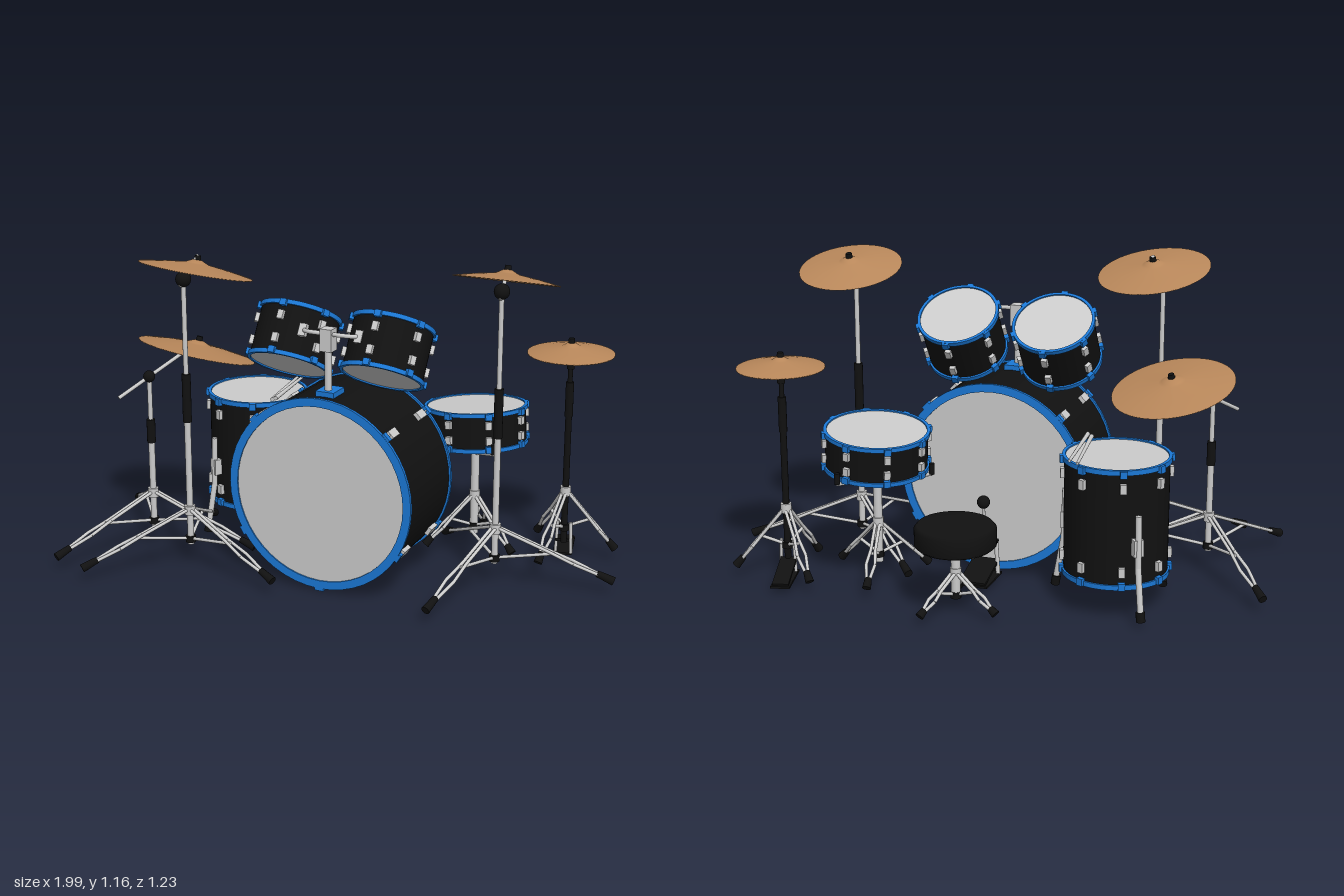
import * as THREE from 'three';

const mat = (color) => new THREE.MeshStandardMaterial({ color, side: THREE.DoubleSide });
const grey = mat(0xcccccc), black = mat(0x111111), blue = mat(0x1b78d6), bronze = mat(0xb8875a);
const V = (x, y, z) => new THREE.Vector3(x, y, z);
const rad = THREE.MathUtils.degToRad;

function add(parent, name, geo, material, x = 0, y = 0, z = 0) {
  const m = new THREE.Mesh(geo, material);
  m.name = name;
  m.position.set(x, y, z);
  parent.add(m);
  return m;
}

function group(parent, name, x = 0, y = 0, z = 0) {
  const g = new THREE.Group();
  g.name = name;
  g.position.set(x, y, z);
  parent.add(g);
  return g;
}

// round bar between two points
function rod(parent, name, a, b, r, material = grey, r2 = r) {
  const d = b.clone().sub(a);
  const m = add(parent, name, new THREE.CylinderGeometry(r2, r, d.length(), 12), material);
  m.position.copy(a).add(b).multiplyScalar(0.5);
  m.quaternion.setFromUnitVectors(V(0, 1, 0), d.normalize());
  return m;
}

// drum along local y: shell, two heads, two hoops, lugs and hoop claws
function drum(parent, name, o) {
  const g = group(parent, name, ...o.pos);
  g.rotation.set(...o.rot);
  const { r, h, rim, hoopH } = o;
  add(g, 'shell', new THREE.CylinderGeometry(r, r, h, 48, 1, true), black);
  for (const s of [1, -1]) {
    add(g, 'head', new THREE.CylinderGeometry(r, r, 0.004, 48), grey, 0, s * (h / 2 - 0.002), 0);
    const out = r + 0.007, inn = out - rim, t = hoopH / 2;
    const ring = [[inn, -t], [out, -t], [out, t], [inn, t], [inn, -t]].map(p => new THREE.Vector2(...p));
    add(g, 'hoop', new THREE.LatheGeometry(ring, 48).toNonIndexed(), blue, 0, s * (h / 2 - t + 0.005), 0)
      .geometry.computeVertexNormals();
    for (const deg of o.lugs) {
      const a = rad(deg);
      const place = (part, w, hh, d, m, rr, y) => {
        add(g, part, new THREE.BoxGeometry(w, hh, d), m, Math.cos(a) * rr, y, Math.sin(a) * rr).rotation.y = Math.PI / 2 - a;
      };
      place('lug', o.lug[0], o.lug[1], 0.016, grey, r + 0.006, s * o.lugY);
      place('claw', o.lug[0] * 1.1, hoopH + 0.008, 0.016, blue, r + 0.008, s * (h / 2 - t));
      if (o.tensionRods) place('tensionRod', 0.005, h / 2 - o.lugY, 0.005, grey, r + 0.009, s * (h / 2 + o.lugY) / 2);
    }
  }
  return g;
}

const spread = (n, off = 0) => Array.from({ length: n }, (_, i) => off + i * 360 / n);

// shallow domed cymbal with bell
function cymbal(parent, name, x, y, z, r, tiltX = 0, tiltZ = 0, flip = 1) {
  const g = group(parent, name, x, y, z);
  g.rotation.set(rad(tiltX), 0, rad(tiltZ));
  const pts = [[0, 0.032], [0.08, 0.031], [0.17, 0.022], [0.22, 0.018], [0.6, 0.008], [1, -0.006], [1, -0.009], [0.6, 0.004], [0.2, 0.013], [0, 0.026]];
  add(g, 'plate', new THREE.LatheGeometry(pts.map(p => new THREE.Vector2(p[0] * r, p[1] * flip)), 48), bronze);
  if (flip > 0) add(g, 'nut', new THREE.CylinderGeometry(0.011, 0.013, 0.02, 12), black, 0, 0.037, 0);
  return g;
}

// three splayed double-bar legs with braces and rubber feet
function tripod(parent, x, z, hub, R, angles, footY = 0.045, low = 0.1) {
  const g = group(parent, 'tripod', x, 0, z);
  rod(g, 'upperCollar', V(0, hub - 0.025, 0), V(0, hub + 0.01, 0), 0.02);
  rod(g, 'lowerCollar', V(0, low - 0.012, 0), V(0, low + 0.012, 0), 0.019, black);
  for (const deg of angles) {
    const c = Math.cos(rad(deg)), s = Math.sin(rad(deg));
    const at = (t, side = 0) => V(c * R * t - s * side, hub + (footY - hub) * t, s * R * t + c * side);
    for (const k of [-1, 1]) {
      const path = [at(0.03, k * 0.008), at(0.45, k * 0.008), at(0.66, k * 0.016), at(0.88, k * 0.005)];
      for (let i = 0; i < 3; i++) rod(g, 'legBar', path[i], path[i + 1], 0.006);
    }
    rod(g, 'foot', at(0.86), at(1), 0.012, black, 0.016);
    rod(g, 'brace', V(0, low, 0), at(0.5), 0.006);
  }
  return g;
}

// cymbal stand: tripod, telescoping pole, sleeve and tilter ball
function cymbalStand(parent, name, x, z, ballY, sleeve, angles, R, arm) {
  const g = group(parent, name);
  tripod(g, x, z, 0.22, R, angles);
  rod(g, 'lowerPole', V(x, 0.08, z), V(x, sleeve[0], z), 0.012);
  rod(g, 'upperPole', V(x, sleeve[0], z), V(x, ballY, z), 0.009);
  rod(g, 'sleeve', V(x, sleeve[0], z), V(x, sleeve[1], z), 0.016, black);
  add(g, 'tilterBall', new THREE.SphereGeometry(arm.ball, 20, 14), black, x, ballY, z);
  rod(g, 'tilterArm', arm.from, arm.to, 0.007);
  return g;
}

// footboard sloping up towards its post, with heel plate
function pedal(parent, name, x, z, ry, w, len) {
  const g = group(parent, name, x, 0, z);
  g.rotation.y = ry;
  add(g, 'basePlate', new THREE.BoxGeometry(w, 0.008, len), black, 0, 0.016, -len / 2);
  add(g, 'footboard', new THREE.BoxGeometry(w * 0.85, 0.01, len * 0.95), black, 0, 0.045, -len / 2).rotation.x = -0.28;
  return g;
}

export function createModel() {
  const kit = new THREE.Group();
  kit.name = 'drumKit';

  // drums
  drum(kit, 'bassDrum', { pos: [0.04, 0.357, 0.11], rot: [Math.PI / 2, 0, 0], r: 0.346, h: 0.358, rim: 0.03, hoopH: 0.012,
    lugs: [90, 31, -44, 149, 224], lug: [0.03, 0.055], lugY: 0.118, tensionRods: true });
  for (const x of [-0.157, 0.207]) {
    drum(kit, 'rackTom', { pos: [x, 0.848, 0.082], rot: [rad(-32), 0, 0], r: 0.143, h: 0.19, rim: 0.011, hoopH: 0.016,
      lugs: spread(6, 30), lug: [0.022, 0.032], lugY: 0.042 });
  }
  drum(kit, 'floorTom', { pos: [-0.467, 0.33, -0.2], rot: [0, 0, 0], r: 0.183, h: 0.42, rim: 0.012, hoopH: 0.018,
    lugs: spread(8, 22.5), lug: [0.022, 0.035], lugY: 0.15 });
  drum(kit, 'snareDrum', { pos: [0.395, 0.503, -0.295], rot: [rad(-4), 0, rad(4)], r: 0.183, h: 0.135, rim: 0.012, hoopH: 0.015,
    lugs: spread(8, 10), lug: [0.022, 0.028], lugY: 0.028 });

  // floor tom legs
  for (const deg of [10, 118, 232]) {
    const c = Math.cos(rad(deg)), s = Math.sin(rad(deg));
    const at = (r, y) => V(-0.467 + c * r, y, -0.2 + s * r);
    rod(kit, 'floorTomLeg', at(0.2, 0.385), at(0.205, 0.2), 0.011);
    rod(kit, 'floorTomLeg', at(0.205, 0.2), at(0.235, 0.04), 0.011);
    rod(kit, 'floorTomFoot', at(0.232, 0.05), at(0.238, 0.015), 0.016, black);
    add(kit, 'legBracket', new THREE.BoxGeometry(0.035, 0.06, 0.03), grey, ...at(0.195, 0.27).toArray()).rotation.y = Math.PI / 2 - rad(deg);
  }

  // tom mount on the bass drum
  const mount = group(kit, 'tomMount', 0.04, 0, 0.212);
  add(mount, 'mountPlate', new THREE.BoxGeometry(0.07, 0.025, 0.085), blue, 0, 0.708, -0.012);
  rod(mount, 'post', V(0, 0.7, 0), V(0, 0.9, 0), 0.013);
  add(mount, 'clampBlock', new THREE.BoxGeometry(0.045, 0.08, 0.045), grey, 0, 0.902, 0);
  for (const s of [-1, 1]) {
    const curve = new THREE.CatmullRomCurve3([V(0, 0.922, 0), V(s * 0.05, 0.924, 0.01), V(s * 0.085, 0.922, 0), V(s * 0.112, 0.915, -0.035)]);
    add(mount, 'tomArm', new THREE.TubeGeometry(curve, 16, 0.008, 10), grey);
    add(mount, 'tomBracket', new THREE.BoxGeometry(0.028, 0.045, 0.02), grey, s * 0.108, 0.917, -0.022).rotation.x = rad(-32);
  }

  // cymbals and their stands
  cymbal(kit, 'leftCrash', 0.577, 1.108, -0.083, 0.186, -14.5, 0);
  cymbalStand(kit, 'leftCrashStand', 0.58, -0.03, 1.075, [0.55, 0.73], [-14, 102, 223], 0.425,
    { ball: 0.028, from: V(0.58, 1.05, -0.015), to: V(0.577, 1.15, -0.094) });
  cymbal(kit, 'rightCrash', -0.467, 1.105, 0.235, 0.203, -13, -5);
  cymbalStand(kit, 'rightCrashStand', -0.49, 0.285, 1.075, [0.55, 0.73], [132, 15, 252], 0.41,
    { ball: 0.028, from: V(-0.495, 1.05, 0.3), to: V(-0.464, 1.152, 0.223) });
  cymbal(kit, 'ride', -0.603, 0.742, 0.015, 0.22, -14, -7.5);
  cymbalStand(kit, 'rideStand', -0.71, 0.185, 0.665, [0.41, 0.5], [-131, 119, -6], 0.41,
    { ball: 0.022, from: V(-0.78, 0.6, 0.285), to: V(-0.6, 0.768, 0.012) });

  // hi-hat
  const hat = group(kit, 'hiHat');
  const hx = 0.722, hz = -0.375;
  cymbal(hat, 'topHat', hx, 0.796, hz, 0.157);
  cymbal(hat, 'bottomHat', hx, 0.78, hz, 0.157, 0, 0, -1);
  rod(hat, 'pullRod', V(hx, 0.6, hz), V(hx, 0.835, hz), 0.006, black);
  rod(hat, 'bottomCup', V(hx, 0.73, hz), V(hx, 0.755, hz), 0.014, black);
  rod(hat, 'upperTube', V(hx, 0.5, hz), V(hx, 0.74, hz), 0.009, black);
  rod(hat, 'sleeve', V(hx, 0.55, hz), V(hx, 0.68, hz), 0.015, black);
  rod(hat, 'lowerTube', V(hx, 0.06, hz), V(hx, 0.55, hz), 0.012, black);
  tripod(hat, hx, hz, 0.27, 0.19, [-20, 100, 220], 0.04, 0.12);
  pedal(hat, 'hiHatPedal', hx, hz + 0.01, 0.25, 0.07, 0.17);
  for (const s of [-1, 1]) rod(hat, 'pedalFrame', V(hx + s * 0.03, 0.02, hz), V(hx + s * 0.025, 0.14, hz), 0.006);

  // snare stand with basket
  const snareStand = group(kit, 'snareStand');
  rod(snareStand, 'pole', V(0.395, 0.07, -0.295), V(0.395, 0.42, -0.295), 0.016);
  tripod(snareStand, 0.395, -0.295, 0.23, 0.19, [20, 140, 260], 0.04, 0.1);
  for (const deg of [50, 170, 290]) {
    const c = Math.cos(rad(deg)), s = Math.sin(rad(deg));
    const tip = V(0.395 + c * 0.2, 0.425 + c * 0.014 + s * 0.014, -0.295 + s * 0.2);
    rod(snareStand, 'basketArm', V(0.395, 0.385, -0.295), tip, 0.007);
    rod(snareStand, 'basketGrip', tip, tip.clone().add(V(0, 0.04, 0)), 0.01, black);
  }

  // throne
  const throne = group(kit, 'throne');
  const seat = [[0, 0.237], [0.13, 0.237], [0.143, 0.248], [0.143, 0.306], [0.132, 0.319], [0, 0.32]];
  add(throne, 'seat', new THREE.LatheGeometry(seat.map(p => new THREE.Vector2(...p)), 40), black, 0.028, 0, -0.47);
  rod(throne, 'pole', V(0.028, 0.06, -0.47), V(0.028, 0.24, -0.47), 0.017);
  tripod(throne, 0.028, -0.47, 0.15, 0.168, [195, -63, 72], 0.025, 0.06);

  // bass drum pedal and beater
  const kick = pedal(kit, 'bassPedal', 0.04, -0.125, 0, 0.115, 0.16);
  for (const s of [-1, 1]) rod(kick, 'pedalPost', V(s * 0.05, 0.015, -0.02), V(s * 0.042, 0.15, -0.02), 0.008);
  rod(kick, 'axle', V(-0.05, 0.145, -0.02), V(0.05, 0.145, -0.02), 0.008, black);
  rod(kick, 'beaterShaft', V(0, 0.14, -0.02), V(0, 0.29, -0.035), 0.005);
  add(kick, 'beater', new THREE.SphereGeometry(0.024, 16, 12), black, 0, 0.293, -0.035);
  add(kick, 'hoopClamp', new THREE.BoxGeometry(0.05, 0.03, 0.07), black, 0, 0.025, 0.02);

  // drumsticks resting on the floor tom
  for (const [dx, y] of [[0, 0.555], [0.028, 0.562]]) {
    rod(kit, 'drumstick', V(-0.335 + dx * 0.5, y, -0.07), V(-0.385 + dx, y + 0.006, -0.4), 0.008, grey, 0.005);
  }
  return kit;
}
